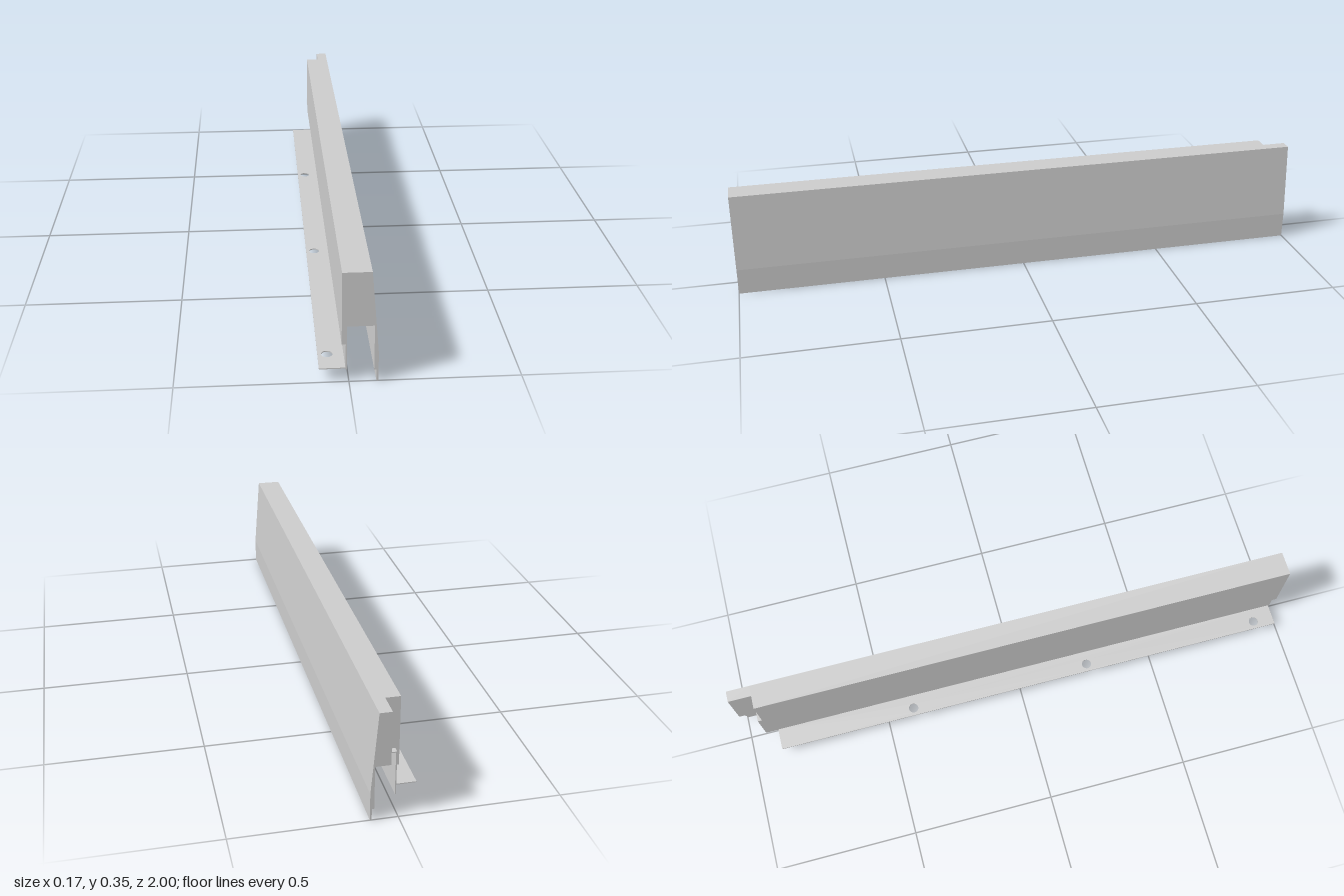
import * as THREE from 'three';

const material = new THREE.MeshStandardMaterial({ color: 0xcccccc, flatShading: true });

// Extrudes an x-y profile between two z positions
function extrude(name, points, zBack, zFront) {
  const shape = new THREE.Shape(points.map(([x, y]) => new THREE.Vector2(x, y)));
  const geometry = new THREE.ExtrudeGeometry(shape, { depth: zFront - zBack, bevelEnabled: false });
  geometry.translate(0, 0, zBack);
  const mesh = new THREE.Mesh(geometry, material);
  mesh.name = name;
  return mesh;
}

export function createModel() {
  const group = new THREE.Group();
  group.name = 'edgeRail';

  const top = 0.352, under = 0.182, sheet = 0.0035;
  const flangeY = 0.037, wallX = -0.0095, notchX = 0.025, notchZ = -0.92;

  // Outer face, lip and inner step shared by both body sections
  const outerSide = [
    [0.072, under], [0.072, flangeY], [0.079, flangeY], [0.079, 0],
    [0.0845, 0], [0.0845, 0.09], [0.063, top],
  ];

  // Full body, and the narrower tongue past the rear notch
  group.add(extrude('body', [
    [-0.0215, top], [-0.0215, 0.124], [wallX, 0.124], [wallX, under], ...outerSide,
  ], notchZ, 1));
  group.add(extrude('rearTongue', [
    [notchX, top], [notchX, 0.179], [0.072, 0.179], ...outerSide.slice(1),
  ], -1, notchZ));

  // Sheet bracket: upright wall folded over under the body
  group.add(extrude('bracketWall', [
    [wallX, flangeY], [wallX + sheet, flangeY], [wallX + sheet, under - sheet],
    [0.072, under - sheet], [0.072, under], [wallX, under],
  ], -0.94, 0.995));

  // Mounting flange with screw holes, drawn flat and laid down (shape y = -z)
  const flange = new THREE.Shape([
    new THREE.Vector2(-0.0855, -0.99), new THREE.Vector2(wallX, -0.99),
    new THREE.Vector2(wallX, 0.895), new THREE.Vector2(-0.0855, 0.895),
  ]);
  for (const z of [-0.4, 0.26, 0.915]) {
    flange.holes.push(new THREE.Path().absarc(-0.058, -z, 0.017, 0, Math.PI * 2, true));
  }
  const flangeGeometry = new THREE.ExtrudeGeometry(flange, {
    depth: sheet, bevelEnabled: false, curveSegments: 24,
  });
  flangeGeometry.rotateX(-Math.PI / 2).translate(0, flangeY, 0);
  const flangeMesh = new THREE.Mesh(flangeGeometry, material);
  flangeMesh.name = 'mountingFlange';
  group.add(flangeMesh);

  return group;
}
